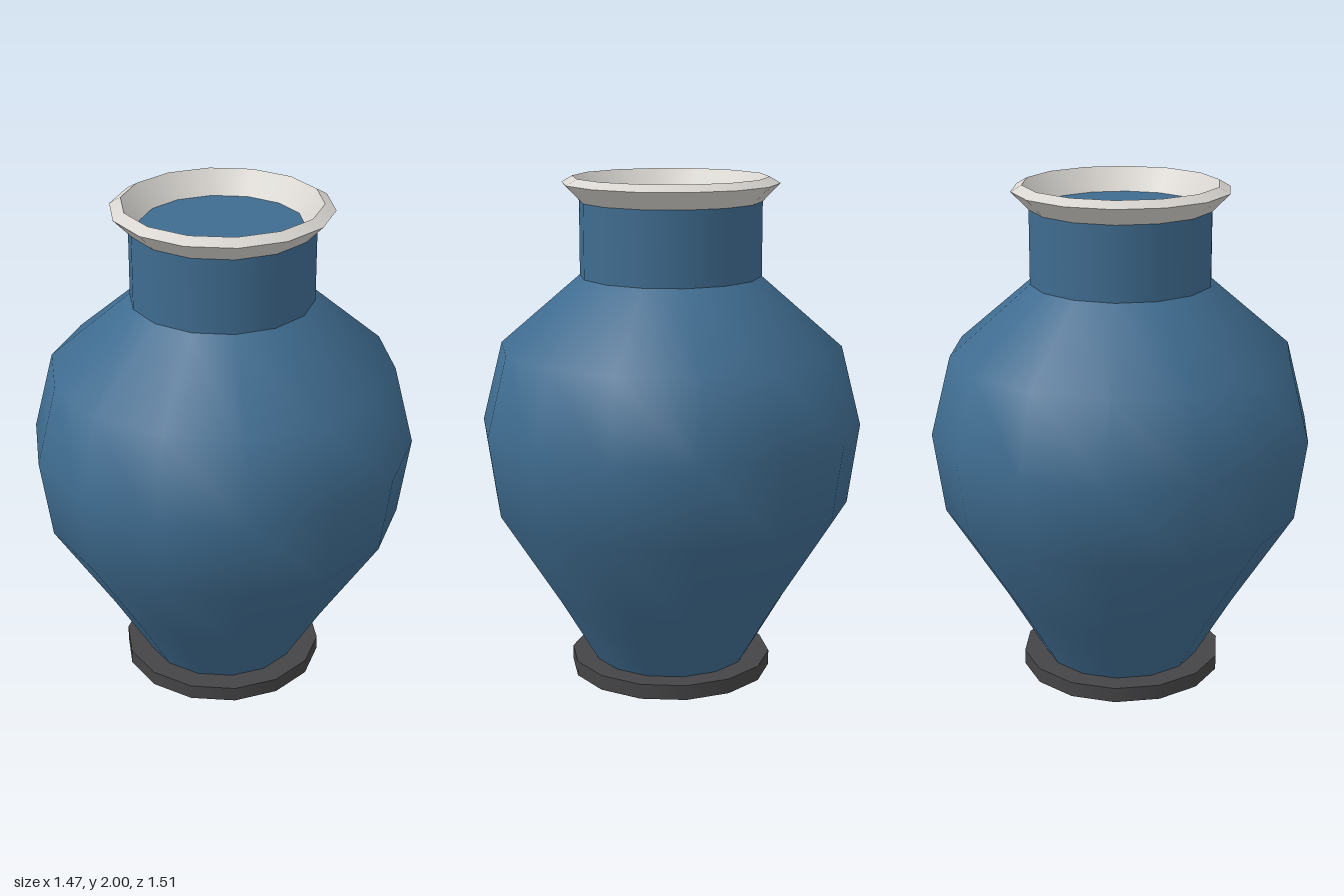
import * as THREE from 'three';

const SIDES = 14;

const material = (name, color) => {
  const m = new THREE.MeshStandardMaterial({ color });
  m.name = name;
  return m;
};

export function createModel() {
  const vase = new THREE.Group();
  vase.name = 'vase';

  const blue = material('blue glaze', 0x3f6c90);
  const white = material('off white', 0xd8d5d0);
  const dark = material('dark grey', 0x454446);

  // Each [radius, height] profile is smooth in itself; separate profiles meet in sharp edges
  const turn = (name, mat, ...profiles) => {
    const part = new THREE.Group();
    part.name = name;
    profiles.forEach((profile, i) => {
      const points = profile.map(([r, y]) => new THREE.Vector2(r, y));
      const mesh = new THREE.Mesh(new THREE.LatheGeometry(points, SIDES), mat);
      mesh.name = `${name}Surface${i + 1}`;
      part.add(mesh);
    });
    vase.add(part);
  };

  // Foot: flat disc
  turn('foot', dark,
    [[0, 0], [0.405, 0]],
    [[0.405, 0], [0.405, 0.06]],
    [[0.405, 0.06], [0, 0.06]]);

  // Belly and shoulder
  turn('body', blue,
    [[0.315, 0.06], [0.467, 0.32], [0.71, 0.705], [0.755, 1.025], [0.675, 1.34], [0.357, 1.615]]);

  // Neck, closed just below the lip
  turn('neck', blue,
    [[0.357, 1.615], [0.357, 1.91]],
    [[0.357, 1.91], [0, 1.91]]);

  // Flared lip: outer flare, bevel, inner funnel
  turn('lip', white,
    [[0.357, 1.905], [0.425, 1.975]],
    [[0.425, 1.975], [0.382, 2]],
    [[0.382, 2], [0.313, 1.91]]);

  return vase;
}
